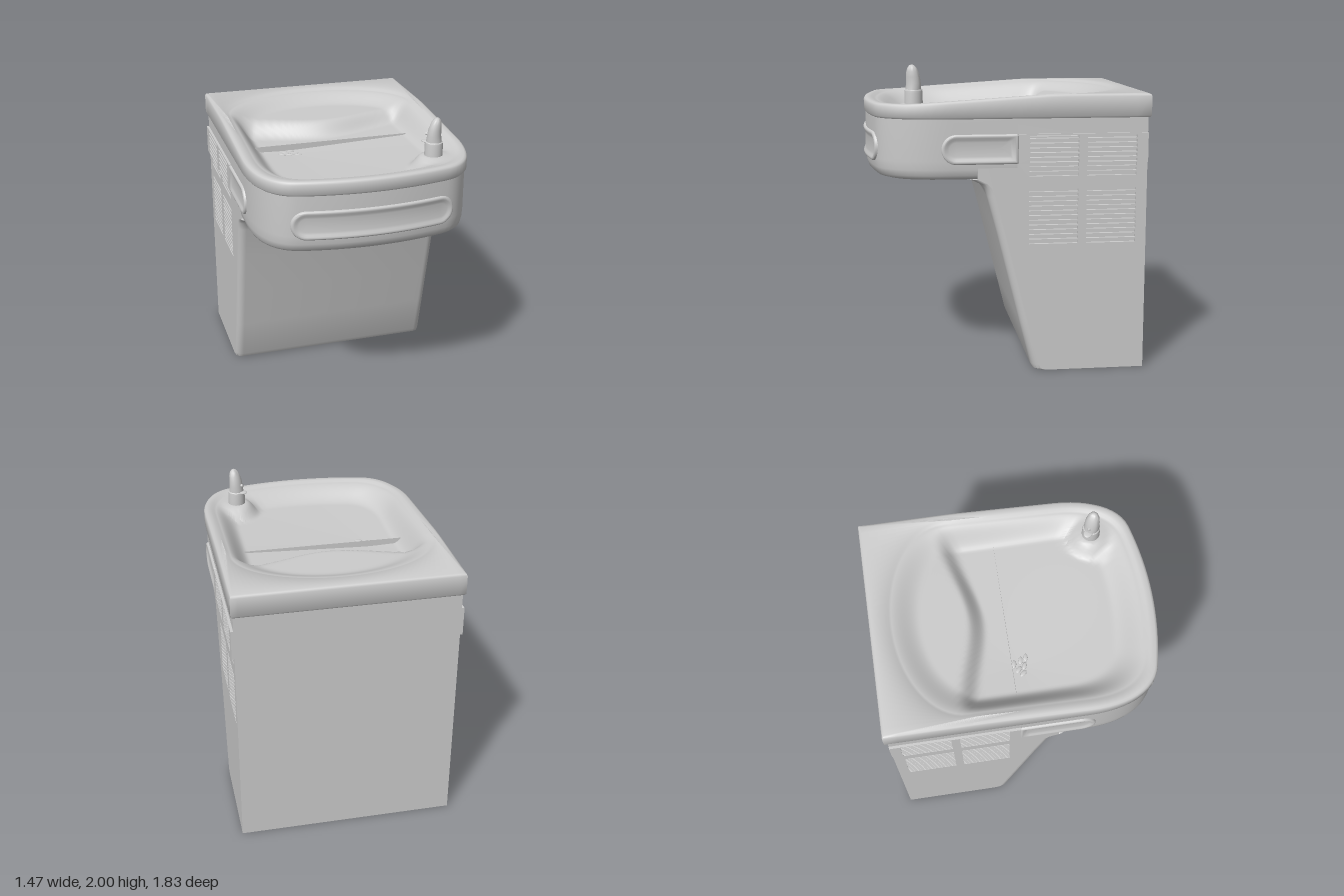
import * as THREE from 'three';
import { toCreasedNormals } from 'three/addons/utils/BufferGeometryUtils.js';

const grey = new THREE.MeshStandardMaterial({ color: 0xcccccc, side: THREE.DoubleSide });
const lerp = THREE.MathUtils.lerp;
const step = (v, a, b) => THREE.MathUtils.smoothstep(v, a, b);

function add(parent, name, geometry) {
  const mesh = new THREE.Mesh(geometry, grey);
  mesh.name = name;
  parent.add(mesh);
  return mesh;
}

// Skin a list of closed loops of [x, y, z]; optionally fan-cap the ends.
function loft(loops, capStart, capEnd, crease = 0.7) {
  const n = loops[0].length, pos = loops.flat(2), index = [];
  for (let i = 0; i < loops.length - 1; i++)
    for (let j = 0; j < n; j++) {
      const a = i * n + j, b = i * n + (j + 1) % n;
      index.push(a, a + n, b, b, a + n, b + n);
    }
  const cap = (row, flip) => {
    const c = pos.length / 3;
    for (let k = 0; k < 3; k++) pos.push(loops[row].reduce((s, p) => s + p[k], 0) / n);
    for (let j = 0; j < n; j++) {
      const a = row * n + j, b = row * n + (j + 1) % n;
      index.push(...(flip ? [c, b, a] : [c, a, b]));
    }
  };
  if (capStart) cap(0, false);
  if (capEnd) cap(loops.length - 1, true);
  const g = new THREE.BufferGeometry();
  g.setAttribute('position', new THREE.Float32BufferAttribute(pos, 3));
  g.setIndex(index);
  return toCreasedNormals(g, crease);
}

// Plan outline [x, z]: straight or arched back, straight sides, bowed front.
function plan(W, F, B, arched) {
  const half = [], k = W - 0.23, sideZ = arched ? -0.38 : B;
  for (let i = 0; i < 16; i++) {
    const t = i / 16, a = t * Math.PI / 2;
    half.push(arched ? [W * Math.sin(a), sideZ + (B - sideZ) * Math.cos(a)] : [W * t, B]);
  }
  for (let i = 0; i < 14; i++) half.push([W, lerp(sideZ, 0.38, i / 14)]);
  const zk = F - 0.25 * k * k;
  const corner = new THREE.CubicBezierCurve(new THREE.Vector2(W, 0.38), new THREE.Vector2(W, 0.62),
    new THREE.Vector2(k + 0.15, zk - 0.04), new THREE.Vector2(k, zk));
  corner.getPoints(12).forEach(p => half.push([p.x, p.y]));
  for (let i = 1; i <= 8; i++) { const x = k * (1 - i / 8); half.push([x, F - 0.25 * x * x]); }
  return half.concat(half.slice(1, -1).reverse().map(([x, z]) => [-x, z]));
}

// Rounded rectangle in u, v with its own corner radius at each end, inset by d.
function pill(u0, u1, v0, v1, r0, r1, d) {
  const pts = [];
  [[u1, v1, r1, -1, -1], [u0, v1, r0, 1, -1], [u0, v0, r0, 1, 1], [u1, v0, r1, -1, 1]].forEach(([u, v, R, su, sv], q) => {
    const r = Math.max(R - d, 0.0005);
    for (let i = 0; i <= 8; i++) {
      const a = (q + i / 8) * Math.PI / 2;
      pts.push([u + su * (d + r) + r * Math.cos(a), v + sv * (d + r) + r * Math.sin(a)]);
    }
    if (q % 2 === 0) { // extra points on the long edges, so they can bend
      const [ua, va] = pts[pts.length - 1], ro = Math.max((q ? r1 : r0) - d, 0.0005);
      const ub = q ? u1 - d - ro : u0 + d + ro;
      for (let i = 1; i < 12; i++) pts.push([lerp(ua, ub, i / 12), va]);
    }
  });
  return pts;
}

// Push bar: raised lip around a shallow dish, laid on a surface by map(u, v, h).
function pushBar(u0, u1, r0, r1, map) {
  const rows = [[0, -0.03], [0, 0.008], [0.005, 0.014], [0.012, 0.016], [0.022, 0.014], [0.035, 0.007], [0.05, 0.004], [0.0945, 0.003]];
  return loft(rows.map(([d, h]) => pill(u0, u1, 1.38, 1.57, r0, r1, d).map(([u, v]) => map(u, v, h))), false, false, 0.9);
}

// Front edge of the cabinet as [z, y]
const front = [[-0.2, 0], [-0.165, 0.01], [-0.148, 0.04], [-0.075, 0.33], [0.0, 0.63], [0.075, 0.93], [0.14, 1.17], [0.158, 1.22], [0.185, 1.25], [0.25, 1.281]];
const R = 0.05; // corner radius of the cabinet front

function slotCentres() {
  const rows = [];
  for (let i = 0; i < 9; i++) rows.push(1.55 - 0.0305 * i);
  for (let i = 0; i < 12; i++) rows.push(1.204 - 0.031 * i);
  return rows;
}

function cutSlots(shape, yMin) {
  for (const y of slotCentres()) {
    if (y < yMin) continue;
    for (const [a, b] of [[-0.45, -0.13], [-0.83, -0.505]]) {
      const h = new THREE.Path();
      h.moveTo(a, y - 0.0095); h.lineTo(a, y + 0.0095); h.lineTo(b, y + 0.0095); h.lineTo(b, y - 0.0095);
      h.closePath();
      shape.holes.push(h);
    }
  }
  return shape;
}

// Extrude a (z, y) shape so that it fills x from x0 to x1.
function slab(shape, x0, x1) {
  const g = new THREE.ExtrudeGeometry(shape, { depth: x1 - x0, bevelEnabled: false });
  return g.rotateY(-Math.PI / 2).translate(x1, 0, 0);
}

const outlineShape = pts => new THREE.Shape(pts.map(p => new THREE.Vector2(p[0], p[1])));

function buildCabinet(group) {
  const edge = front.map(([z, y]) => [z - R, y]);
  add(group, 'cabinetCore', slab(outlineShape([[-0.9, 0], ...edge.slice(0, -1), [0.1, 1.55], [-0.45, 1.55], [-0.45, 1.67], [-0.9, 1.67]]), -0.69, 0.69));
  const loops = front.map(([z, y]) => {
    const half = [[0.69, y, z - R - 0.03]];
    for (let i = 0; i <= 6; i++) {
      const a = i / 6 * Math.PI / 2;
      half.push([0.715 - R + R * Math.cos(a), y, z - R + R * Math.sin(a)]);
    }
    return half.concat(half.slice().reverse().map(([x, yy, zz]) => [-x, yy, zz]));
  });
  add(group, 'cabinetFront', loft(loops, true, true));
  for (const s of [1, -1]) {
    const span = (a, b) => s > 0 ? [a, b] : [-b, -a];
    const panel = cutSlots(outlineShape([[-0.9, 0], ...edge, [0.2, 1.67], [-0.9, 1.67]]), 0);
    add(group, 'sidePanel', slab(panel, ...span(0.69, 0.715)));
    const strip = cutSlots(outlineShape([[-0.9, 1.38], [-0.06, 1.38], [-0.06, 1.57], [-0.9, 1.57]]), 1.39);
    add(group, 'sideStrip', slab(strip, ...span(0.714, 0.732)));
  }
}

function buildApron(group) {
  const rows = [[0.14, 1.276], [0.07, 1.28], [0.035, 1.29], [0.015, 1.308], [0.004, 1.345], [0, 1.4], [0, 1.675]];
  add(group, 'apron', loft(rows.map(([d, y]) => plan(0.717 - d * 0.6, 0.9 - d, -0.055).map(([x, z]) => [x, y, z])), true, false, 1));
  add(group, 'frontPushBar', pushBar(-0.53, 0.53, 0.095, 0.095, (u, v, h) => [u, v, 0.9 - 0.25 * u * u + h]));
  for (const s of [1, -1])
    add(group, 'sidePushBar', pushBar(-0.06, 0.43, 0.012, 0.095, (u, v, h) => [s * (0.717 + h), v, u]));
}

const rimY = z => lerp(1.82, 1.76, THREE.MathUtils.clamp((z + 0.3) / 0.95, 0, 1));
const spoutX = 0.48, spoutZ = 0.59;

// Height of the bowl; s runs from 1 at the rim to 0 at the middle.
function bowlY(x, z, s) {
  const ridge = -0.25 - 0.13 * step(Math.abs(x), 0, 0.62);
  const low = 1.63 + 0.04 * Math.hypot(x + 0.33, z);
  const bed = lerp(1.745, low, step(z, ridge - 0.05, ridge + 0.07));
  const y = lerp(rimY(z) - 0.012, bed, 1 - step(s, 0.76, 1));
  return lerp(1.75, y, step(Math.hypot(x - spoutX, z - spoutZ), 0.07, 0.17));
}

function buildTop(group) {
  const loops = [];
  const outer = (d, h) => loops.push(plan(0.73 - d, 0.91 - d, -0.918 + d).map(([x, z]) => [x, h(z), z]));
  outer(0.05, () => 1.672);
  outer(0.01, () => 1.668);
  outer(0, () => 1.68);
  outer(0, z => rimY(z) - 0.018);
  outer(0.006, z => rimY(z) - 0.005);
  outer(0.018, z => rimY(z));
  const inner = plan(0.66, 0.84, -0.79, true);
  loops.push(plan(0.675, 0.855, -0.805, true).map(([x, z]) => [x, rimY(z), z]));
  for (let i = 0; i <= 50; i++) {
    const s = 1 - i / 50.5;
    loops.push(inner.map(([x, z]) => { const X = x * s, Z = z * s; return [X, bowlY(X, Z, s), Z]; }));
  }
  add(group, 'basin', loft(loops, false, true, 0.8));
  // Drain grid
  const holes = [[-0.31, -0.04, 0.2], [-0.35, -0.015, 0.7], [-0.29, 0.005, 0.2], [-0.38, 0.01, 0.9], [-0.33, 0.025, 0.4], [-0.275, 0.04, 0.1]];
  for (const [x, z, a] of holes) {
    const bar = add(group, 'drainSlot', new THREE.SphereGeometry(1, 12, 6).scale(0.028, 0.006, 0.015));
    bar.position.set(x, bowlY(x, z, 0.3), z);
    bar.rotation.y = -a;
  }
}

// Bubbler hood facing the drain
function buildSpout(group) {
  const spout = new THREE.Group();
  spout.name = 'spout';
  const rows = [[1.7, 0.06, 0], [1.82, 0.058, 0], [1.835, 0.056, 0], [1.84, 0.05, 0], [1.88, 0.05, 0], [1.92, 0.047, -0.004],
    [1.955, 0.04, -0.01], [1.98, 0.03, -0.014], [1.994, 0.017, -0.016], [2.0, 0.003, -0.016]];
  add(spout, 'spoutHood', loft(rows.map(([y, r, off]) => Array.from({ length: 20 }, (_, i) => {
    const a = i / 20 * Math.PI * 2;
    return [r * Math.cos(a), y, r * Math.sin(a) * (y > 1.84 ? 0.88 : 1) + off];
  })), false, true));
  add(spout, 'spoutLip', new THREE.SphereGeometry(1, 14, 8).scale(0.03, 0.008, 0.04)).position.set(0, 1.836, 0.045);
  const nozzle = add(spout, 'nozzle', new THREE.CylinderGeometry(0.01, 0.012, 0.02, 12).rotateX(Math.PI / 2));
  nozzle.position.set(0, 1.885, 0.045);
  spout.position.set(spoutX, 0, spoutZ);
  spout.rotation.y = Math.atan2(-0.8, -0.6);
  group.add(spout);
}

export function createModel() {
  const group = new THREE.Group();
  group.name = 'drinkingFountain';
  buildCabinet(group);
  buildApron(group);
  buildTop(group);
  buildSpout(group);
  return group;
}
